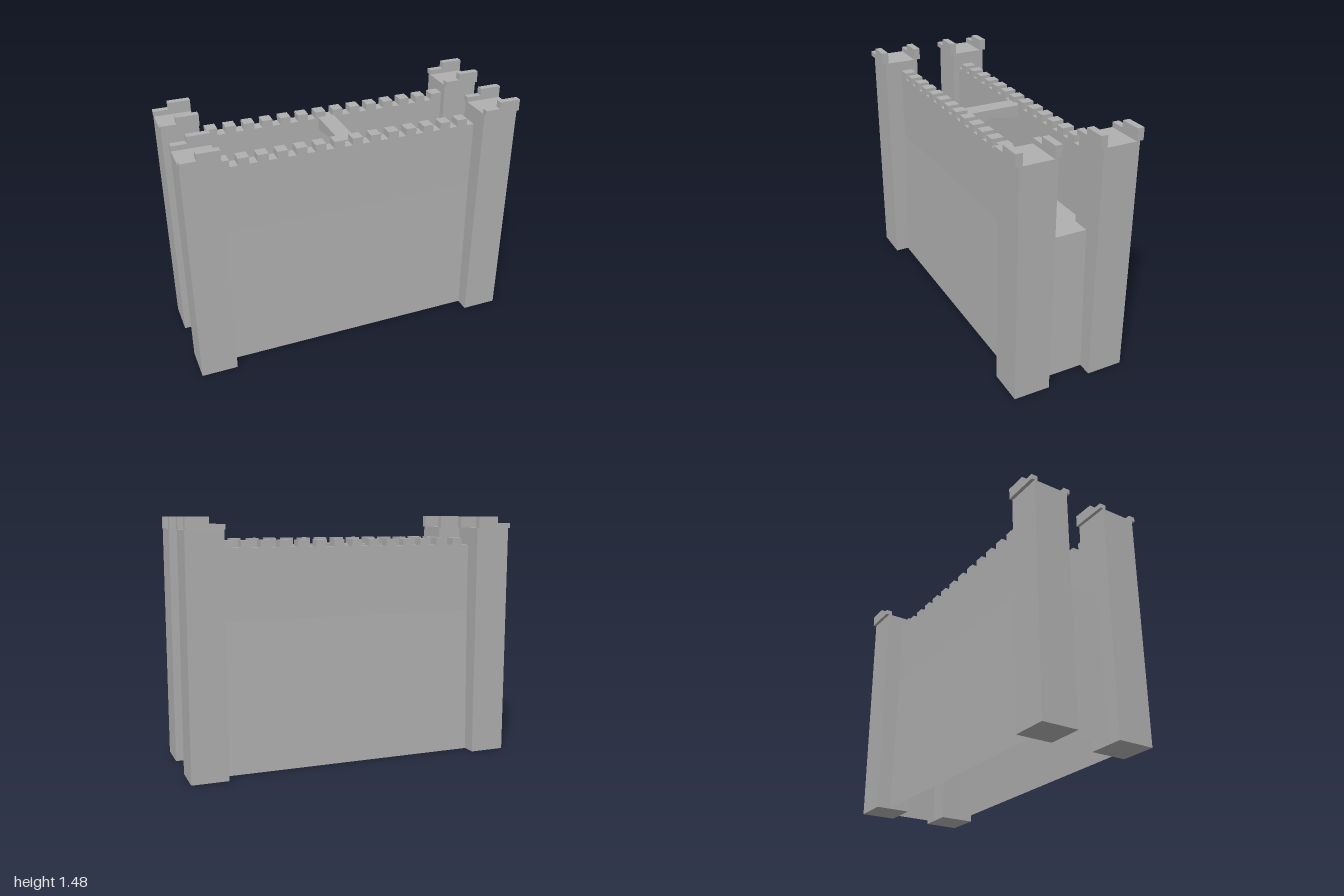
import * as THREE from 'three';

export function createModel() {
  const group = new THREE.Group();
  const stone = new THREE.MeshStandardMaterial({ color: 0xb0b0b0 });
  const stoneShell = new THREE.MeshStandardMaterial({ color: 0xb0b0b0, side: THREE.DoubleSide });
  stone.name = 'stone';
  stoneShell.name = 'stone';

  // Box given by its extents, added to a parent
  function block(parent, name, x0, x1, y0, y1, z0, z1) {
    const mesh = new THREE.Mesh(new THREE.BoxGeometry(x1 - x0, y1 - y0, z1 - z0), stone);
    mesh.position.set((x0 + x1) / 2, (y0 + y1) / 2, (z0 + z1) / 2);
    mesh.name = name;
    parent.add(mesh);
  }

  // Corner towers, each with two stepped parapets across the roof
  for (const x0 of [-1, 0.783]) {
    for (const side of [1, -1]) {
      const tower = new THREE.Group();
      tower.name = 'tower';
      const x1 = x0 + 0.217;
      const step = x0 + 0.088;
      block(tower, 'towerShaft', x0, x1, 0, 1.405, side * 0.24 - 0.109, side * 0.24 + 0.109);
      for (const z of [0.35, 0.131]) {
        const zc = side * z;
        block(tower, 'parapetLow', x0, step, 1.405, 1.435, zc - 0.02, zc + 0.02);
        block(tower, 'parapetHigh', step, x1, 1.405, 1.475, zc - 0.02, zc + 0.02);
      }
      group.add(tower);
    }
  }

  // Hollow battered base: sides lean inward to the walkway, open underneath
  const floorY = 0.89;
  let base = new THREE.BoxGeometry(1.83, floorY, 0.53);
  const index = Array.from(base.index.array);
  index.splice(18, 6);
  base.setIndex(index);
  base.clearGroups();
  const pos = base.attributes.position;
  for (let i = 0; i < pos.count; i++) {
    if (pos.getY(i) > 0) {
      pos.setX(i, Math.sign(pos.getX(i)) * 0.89);
      pos.setZ(i, Math.sign(pos.getZ(i)) * 0.243);
    }
  }
  base = base.toNonIndexed();
  base.computeVertexNormals();
  const baseMesh = new THREE.Mesh(base, stoneShell);
  baseMesh.position.y = floorY / 2;
  baseMesh.name = 'batteredBase';
  group.add(baseMesh);

  // Upper walls with battlements, the rear one a half turn of the front one
  const wallTop = 1.302, pitch = 0.1115, gap = 0.048;
  for (const turn of [0, Math.PI]) {
    const wall = new THREE.Group();
    wall.name = 'curtainWall';
    block(wall, 'upperWall', -0.785, 0.785, floorY, wallTop, 0.172, 0.243);
    for (let i = 0; i < 14; i++) {
      const end = -0.714 + i * pitch;
      const start = i === 0 ? -0.785 : end - pitch + gap;
      block(wall, 'merlon', start, end, wallTop, 1.343, 0.172, 0.243);
    }
    wall.rotation.y = turn;
    group.add(wall);
  }

  // Footbridge with a stepped, arched underside
  const half = [[0.18, 1.31], [0.18, 1.237], [0.088, 1.237], [0.088, 1.247], [0.03, 1.247], [0.03, 1.255]];
  const outline = [...half, ...half.map(([z, y]) => [-z, y]).reverse()];
  const shape = new THREE.Shape(outline.map(([z, y]) => new THREE.Vector2(z, y)));
  const bridgeGeometry = new THREE.ExtrudeGeometry(shape, { depth: 0.1, bevelEnabled: false });
  bridgeGeometry.translate(0, 0, -0.05);
  bridgeGeometry.rotateY(Math.PI / 2);
  const bridge = new THREE.Mesh(bridgeGeometry, stone);
  bridge.name = 'footbridge';
  group.add(bridge);

  return group;
}
